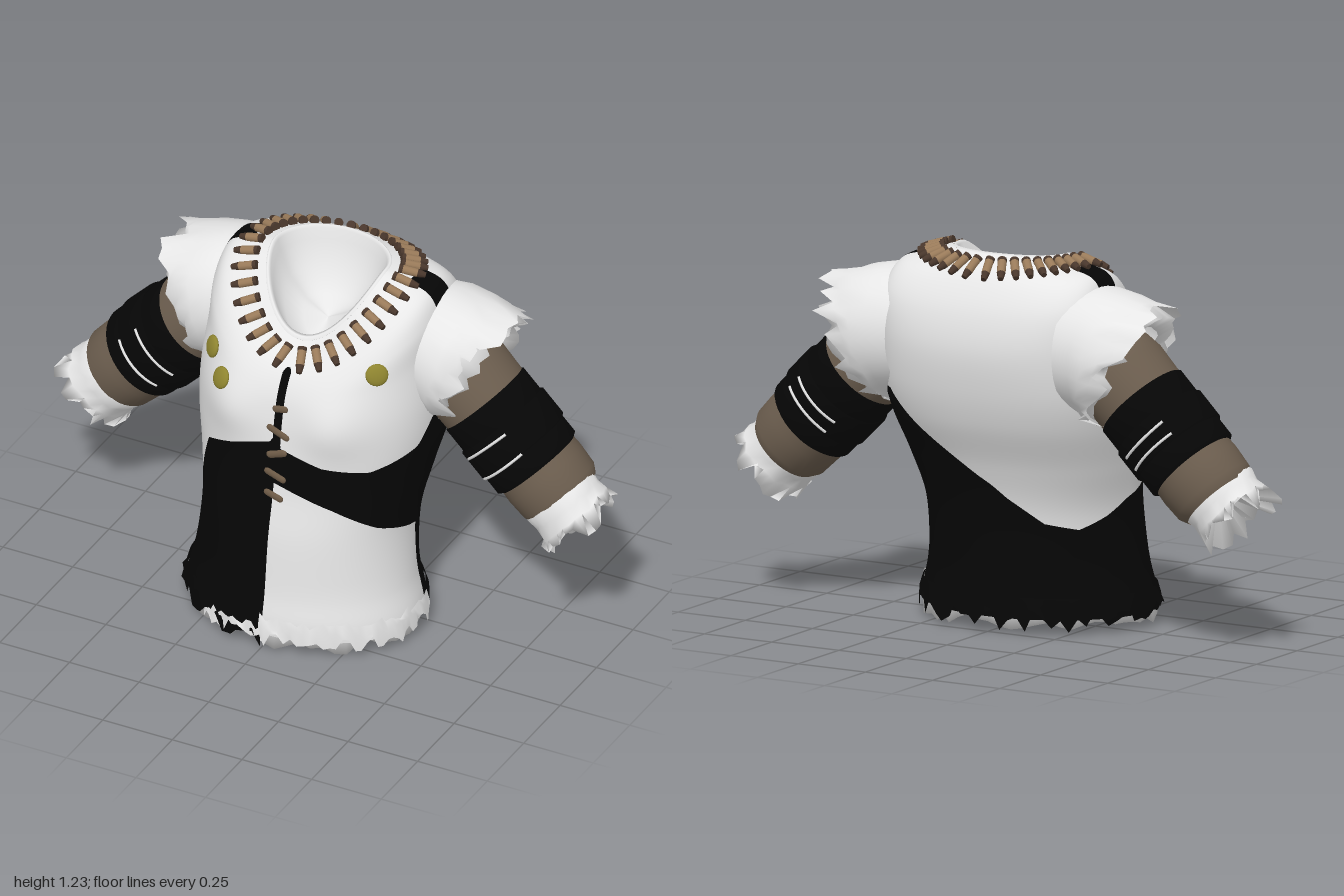
import * as THREE from 'three';

const mat = (name, color) => {
  const m = new THREE.MeshStandardMaterial({ color, side: THREE.DoubleSide });
  m.name = name;
  return m;
};
const V = (x, y, z) => new THREE.Vector3(x, y, z);
const { PI, sin, cos, abs, min, max, sign } = Math;
const TAU = PI * 2;
let seed = 7;
const rnd = () => (seed = (seed * 16807) % 2147483647) / 2147483647;
const lerp = THREE.MathUtils.lerp;

// Torso guide curves, hem to neck: front line, left side line, back line
const curve = (pts) => new THREE.CatmullRomCurve3(pts.map((p) => V(...p)));
const frontLine = curve([[0, .06, .385], [0, .11, .385], [0, .2, .368], [0, .4, .343], [0, .55, .31], [0, .7, .288],
  [0, .8, .272], [0, .88, .252], [0, .93, .228], [0, .965, .2], [0, .995, .16], [0, 1.025, .125]]);
const sideLine = curve([[.4, .06, .08], [.39, .11, .08], [.37, .2, .07], [.355, .4, .04], [.375, .55, 0], [.4, .7, -.04],
  [.405, .82, -.07], [.395, 1, -.12], [.388, 1.12, -.13], [.355, 1.183, -.12], [.265, 1.212, -.1], [.205, 1.228, -.09]]);
const backLine = curve([[0, .06, -.25], [0, .11, -.25], [0, .2, -.235], [0, .4, -.24], [0, .55, -.285], [0, .7, -.355],
  [0, .82, -.39], [0, .95, -.405], [0, 1.06, -.385], [0, 1.14, -.345], [0, 1.2, -.295], [0, 1.235, -.24]]);

// Torso surface: a runs from the front towards +x, t from hem to neck
function surf(a, t) {
  t = min(1, max(0, t));
  const S = sideLine.getPoint(t), c = cos(a), s = sin(a);
  const E = (c > 0 ? frontLine : backLine).getPoint(t);
  const boxy = sin(PI * max(0, (t - .2) / .8));
  const kz = abs(c) ** (c > 0 ? 1 - .1 * boxy : 1 - .48 * boxy);
  const x = S.x * sign(s) * abs(s) ** (1 - .18 * boxy);
  const p = V(x, lerp(S.y, E.y, abs(c) ** 1.75), lerp(S.z, E.z, kz));
  if (c > 0) p.z += .03 * Math.exp(-(((abs(x) - .19) / .11) ** 2) - ((p.y - .81) / .11) ** 2);
  return p;
}
function normalAt(a, t) {
  const da = surf(a + .01, t).sub(surf(a - .01, t));
  return da.cross(surf(a, t + .01).sub(surf(a, t - .01))).normalize();
}
// Front point of the torso at a given x and y
function frontPoint(x, y) {
  let best = [9];
  for (let i = -60; i <= 60; i++) for (let j = 0; j <= 100; j++) {
    const p = surf(i / 45, j / 100), d = Math.hypot(p.x - x, p.y - y);
    if (d < best[0]) best = [d, p, normalAt(i / 45, j / 100)];
  }
  return best;
}

// Dark cloth lies between these two heights, given by angle in degrees
const topEdge = [[0, .71], [20, .67], [45, .655], [75, .7], [85, .78], [110, .79], [130, .78], [150, .67], [172, .55],
  [190, .45], [210, .37], [230, .35], [250, .39], [270, .44], [300, .48], [318, .63], [340, .68], [360, .73]];
const lowEdge = [[0, .585], [30, .52], [60, .44], [96, .375], [104, .16], [106, -1], [360, -1]];
function table(rows, d) {
  const i = max(1, rows.findIndex((r) => r[0] >= d));
  const [p, q] = [rows[i - 1], rows[i]];
  return lerp(p[1], q[1], (d - p[0]) / (q[0] - p[0]));
}
function darkness(a, p) {
  const d = min(360, max(0, a * 180 / PI));
  const cloth = min(table(topEdge, d) - p.y, p.y - table(lowEdge, d));
  const patch = min(.048 - abs(p.z + .135), abs(p.x) - .28, p.y - 1.14);
  const slit = p.z > .1 ? min(.014 - abs(p.x), p.y - .66, .965 - p.y) : -1;
  return max(cloth, patch, slit);
}

// Splits the torso grid along the colour border
function torsoGeometries() {
  const N = 180, M = 90, rows = [];
  for (let j = 0; j <= M; j++) {
    rows.push([]);
    for (let i = 0; i <= N; i++) {
      const a = i / N * TAU, p = surf(a, j / M);
      rows[j].push({ p, n: normalAt(a, j / M), f: darkness(a, p) });
    }
  }
  const clip = (poly, sg) => poly.flatMap((v, i) => {
    const w = poly[(i + 1) % 3], out = v.f * sg >= 0 ? [v] : [];
    if (v.f * w.f < 0) {
      const k = v.f / (v.f - w.f);
      out.push({ p: v.p.clone().lerp(w.p, k), n: v.n.clone().lerp(w.n, k).normalize() });
    }
    return out;
  });
  return [-1, 1].map((sg) => {
    const pos = [], nor = [];
    for (let j = 0; j < M; j++) for (let i = 0; i < N; i++) {
      const [A, B, C, D] = [rows[j][i], rows[j][i + 1], rows[j + 1][i + 1], rows[j + 1][i]];
      for (const tri of [[A, B, C], [A, C, D]]) {
        const q = clip(tri, sg);
        for (let k = 1; k + 1 < q.length; k++) for (const v of [q[0], q[k], q[k + 1]]) {
          pos.push(...v.p.toArray());
          nor.push(...v.n.toArray());
        }
      }
    }
    const g = new THREE.BufferGeometry();
    g.setAttribute('position', new THREE.Float32BufferAttribute(pos, 3));
    g.setAttribute('normal', new THREE.Float32BufferAttribute(nor, 3));
    return g;
  });
}

// Skin through rings; each ring is a function of angle
function loft(rings, n, a0 = 0, a1 = TAU) {
  const pos = [], idx = [], closed = a1 - a0 > TAU - .01, w = closed ? n : n + 1;
  for (const ring of rings) for (let i = 0; i < w; i++) pos.push(...ring(a0 + (a1 - a0) * i / n).toArray());
  for (let j = 0; j + 1 < rings.length; j++) for (let i = 0; i < n; i++) {
    const a = j * w + i, b = j * w + (i + 1) % w;
    idx.push(a, b, b + w, a, b + w, a + w);
  }
  const g = new THREE.BufferGeometry();
  g.setAttribute('position', new THREE.Float32BufferAttribute(pos, 3));
  g.setIndex(idx);
  g.computeVertexNormals();
  return g;
}

export function createModel() {
  const root = new THREE.Group();
  const white = mat('whiteCloth', 0xe6e6e6), black = mat('blackCloth', 0x060606), brown = mat('brownSleeve', 0x6b5d4e);
  const gold = mat('oliveGold', 0x8f8530), brass = mat('brass', 0x9a7b5a), dark = mat('darkCopper', 0x49372c);
  const lace = mat('lace', 0x6f5c48);
  const add = (name, geo, m, parent = root) => {
    const mesh = new THREE.Mesh(geo, m);
    mesh.name = name;
    parent.add(mesh);
    return mesh;
  };

  const [light, darkPart] = torsoGeometries();
  add('torsoWhite', light, white);
  add('torsoBlack', darkPart, black);

  // Ragged hem layers and hollow underside
  const hemRing = (y, k, jag) => (a) => {
    const p = surf(a, .05), kk = k + (rnd() - .5) * jag * .5;
    return V(p.x * kk, y + (rnd() - .5) * jag, .07 + (p.z - .07) * kk);
  };
  add('hemFrillWhite', loft([hemRing(.125, 1.012, .035), hemRing(.095, 1.035, .02), hemRing(.055, 1.04, .06)], 34, -.02, 1.82), white);
  add('hemFrillFront', loft([hemRing(.09, 1.035, .03), hemRing(.055, 1.045, .05)], 14, -.6, 0), white);
  add('hemFrillBlack', loft([hemRing(.13, .995, 0), hemRing(.09, 1.025, .01), hemRing(.055, 1.035, .07)], 62, 1.82, TAU), black);
  add('hemLining', loft([hemRing(.09, .98, 0), hemRing(.035, .99, .05), () => V(0, .21, .07)], 60), white);

  // Neck rim and inner dish
  const neckRing = (k, d) => (a) => {
    const p = surf(a, 1), c = V(0, 1.15, -.07);
    return V(p.x * k, lerp(c.y, p.y, k) - d, lerp(c.z, p.z, k));
  };
  add('neckLining', loft([[1, 0], [.97, -.008], [.92, -.004], [.88, .03], [.7, .1], [.4, .14], [.001, .15]]
    .map((r) => neckRing(...r)), 64), white);

  // Cartridge collar
  const tip = new THREE.CylinderGeometry(.009, .014, .028, 10).translate(0, .038, 0);
  const shell = new THREE.CylinderGeometry(.014, .0145, .05, 10);
  const base = new THREE.CylinderGeometry(.015, .015, .012, 10).translate(0, -.03, 0);
  const count = 36;
  for (let i = 0; i < count; i++) {
    const a = (i + .5) / count * TAU, rim = surf(a, 1);
    const down = (d) => {
      let t = 1;
      while (t > .6 && surf(a, t).distanceTo(rim) < d) t -= .002;
      return t;
    };
    const p0 = surf(a, down(.022)), p1 = surf(a, down(.104));
    const g = new THREE.Group();
    g.name = 'cartridge';
    g.position.copy(p0).lerp(p1, .5).addScaledVector(normalAt(a, down(.06)), .009);
    g.quaternion.setFromUnitVectors(V(0, 1, 0), p1.sub(p0).normalize());
    add('cartridgeTip', tip, dark, g);
    add('cartridgeShell', shell, brass, g);
    add('cartridgeBase', base, dark, g);
    root.add(g);
  }

  // Chest buttons
  for (const [x, y] of [[-.29, .93], [-.22, .875], [.285, .99]]) {
    const [, p, n] = frontPoint(x, y);
    const b = add('button', new THREE.SphereGeometry(.037, 20, 12).scale(1, .35, 1), gold);
    b.position.copy(p).addScaledVector(n, .004);
    b.quaternion.setFromUnitVectors(V(0, 1, 0), n);
  }

  // Front lacing
  for (const [y, tilt, length] of [[.845, .2, .03], [.765, -.4, .06], [.69, .35, .05], [.615, -.35, .055], [.545, -.3, .045]]) {
    const [, p] = frontPoint(0, y);
    const l = add('lacing', new THREE.CapsuleGeometry(.013, length, 4, 8).scale(1, 1, .5), lace);
    l.position.set(.005, y, p.z + .004);
    l.rotation.z = PI / 2 + tilt;
  }

  for (const s of [1, -1]) {
    // Sleeve, laid out along local y and turned 45 degrees down
    const arm = new THREE.Group();
    arm.name = s > 0 ? 'leftSleeve' : 'rightSleeve';
    arm.position.set(.36 * s, .955, -.155);
    arm.rotation.z = -s * PI * .75;
    root.add(arm);
    const lathe = (pts) => new THREE.LatheGeometry(pts.map(([r, y]) => new THREE.Vector2(r, y)), 40);
    add('upperSleeve', lathe([[.1, .02], [.145, .06], [.156, .12], [.152, .25]]), brown, arm);
    for (const [y0, y1, r] of [[.21, .33, .158], [.3, .43, .166], [.4, .5, .158]])
      add('armWrap', lathe([[r - .02, y0], [r, y0 + .015], [r, y1 - .015], [r - .02, y1]]), black, arm);
    // Loose threads on the front and back of the wraps
    for (const side of [0, PI]) for (const [y, tilt] of [[.345, .06], [.41, -.06]]) {
      const thread = add('wrapThread', new THREE.TorusGeometry(.167, .005, 5, 24, 1.2), white, arm);
      thread.position.y = y;
      thread.rotation.set(PI / 2 + tilt, 0, PI / 2 - .6 + side);
    }
    add('lowerSleeve', lathe([[.143, .475], [.146, .53], [.142, .6], [.126, .63]]), brown, arm);

    // Ragged cuff with hollow end
    const cuffRing = (r, y, jag) => (a) => {
      const k = r + (rnd() - .5) * jag * .4;
      return V(k * sin(a), y + (rnd() - .5) * jag, .015 + k * .95 * cos(a));
    };
    add('cuff', loft([cuffRing(.12, .6, 0), cuffRing(.134, .615, .01), cuffRing(.128, .65, .015),
      cuffRing(.134, .69, .02), cuffRing(.14, .73, .07), () => V(0, .61, .015)], 30), white, arm);

    // Layered ragged shoulder cap
    const capRing = (x, lean, y, ry, rz, jag = 0) => (a) => {
      const j = (rnd() - .5) * jag, k = 1 + (rnd() - .5) * jag;
      return V(s * (x + lean * cos(a) + j), y + ry * k * cos(a), -.17 + rz * k * sin(a));
    };
    add('shoulderCap', loft([capRing(.31, 0, .95, .205, .2), capRing(.38, .02, .945, .212, .218),
      capRing(.425, .055, .93, .21, .222, .015), capRing(.46, .08, .918, .205, .215, .03),
      capRing(.495, .1, .905, .198, .2, .1)], 36), white);
    add('shoulderCapLining', loft([capRing(.45, .06, .925, .2, .21), capRing(.51, .085, .905, .172, .18, .07),
      capRing(.46, .07, .91, .13, .145, .03)], 36), white);
  }
  return root;
}
